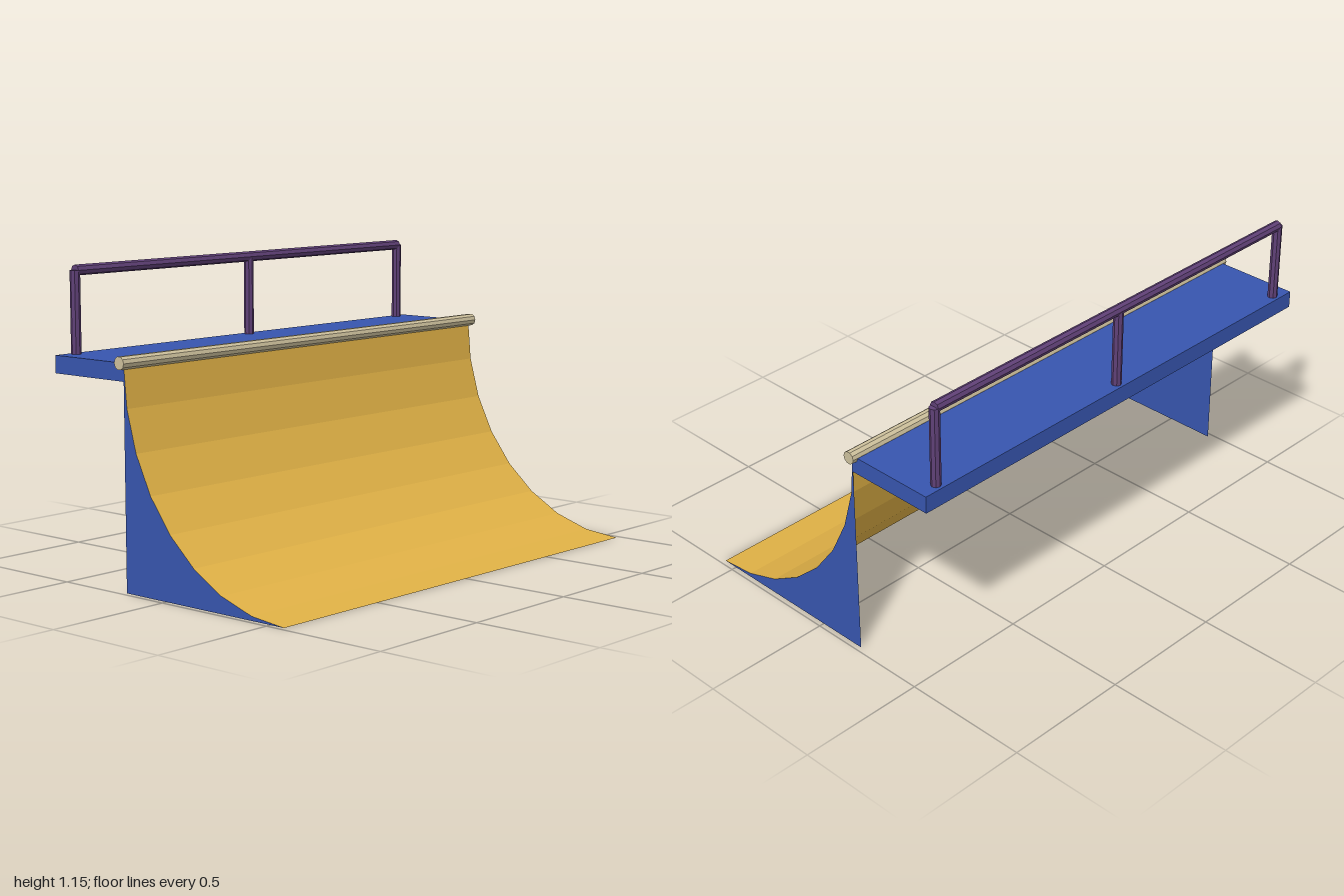
import * as THREE from 'three';

const mat = (name, color) => new THREE.MeshStandardMaterial({ name, color, flatShading: true });

export function createModel() {
  const group = new THREE.Group();
  group.name = 'quarterPipe';
  const blue = mat('blue', 0x3755ae);
  const yellow = mat('yellow', 0xe0b146);
  const purple = mat('purple', 0x5f4076);
  const cream = mat('cream', 0xcdc09c);
  blue.side = yellow.side = THREE.DoubleSide;

  const add = (name, geometry, material, x = 0, y = 0, z = 0) => {
    const mesh = new THREE.Mesh(geometry, material);
    mesh.name = name;
    mesh.position.set(x, y, z);
    group.add(mesh);
    return mesh;
  };

  const halfWidth = 0.98, front = 0.562, depth = 0.764, height = 0.826, steps = 8;

  // Curved profile from the front lip up to the deck edge
  const profile = [];
  for (let i = 0; i <= steps; i++) {
    const a = (i / steps) * Math.PI / 2;
    profile.push({ z: front - depth * Math.sin(a), y: height * (1 - Math.cos(a)) });
  }

  // Riding surface: a sheet bent along the profile
  const sheet = new THREE.PlaneGeometry(halfWidth * 2, 1, 1, steps);
  const pos = sheet.attributes.position;
  for (let i = 0; i < pos.count; i++) {
    const p = profile[steps - Math.floor(i / 2)];
    pos.setXYZ(i, pos.getX(i), p.y, p.z);
  }
  sheet.computeVertexNormals();
  add('ridingSurface', sheet, yellow);

  // Side panels below the curve
  const panel = new THREE.Shape(profile.map(p => new THREE.Vector2(-p.z, p.y)));
  panel.lineTo(depth - front, 0);
  for (const side of [-1, 1]) {
    add('sidePanel', new THREE.ShapeGeometry(panel), blue, side * halfWidth).rotation.y = Math.PI / 2;
  }

  // Deck
  add('deck', new THREE.BoxGeometry(halfWidth * 2, 0.066, 0.362), blue, 0, 0.793, -0.381);

  // Horizontal bars: coping and handrail
  const bar = (name, radius, length, sides, material, y, z) => {
    add(name, new THREE.CylinderGeometry(radius, radius, length, sides), material, 0, y, z)
      .rotation.z = Math.PI / 2;
  };
  bar('coping', 0.0245, 2, 10, cream, 0.827, -0.204);
  bar('handrail', 0.02, 1.81, 8, purple, 1.131, -0.533);

  // Rail posts
  for (const x of [-0.905, 0, 0.905]) {
    add('railPost', new THREE.CylinderGeometry(0.019, 0.019, 0.305, 8), purple, x, 0.9785, -0.533);
  }
  return group;
}
